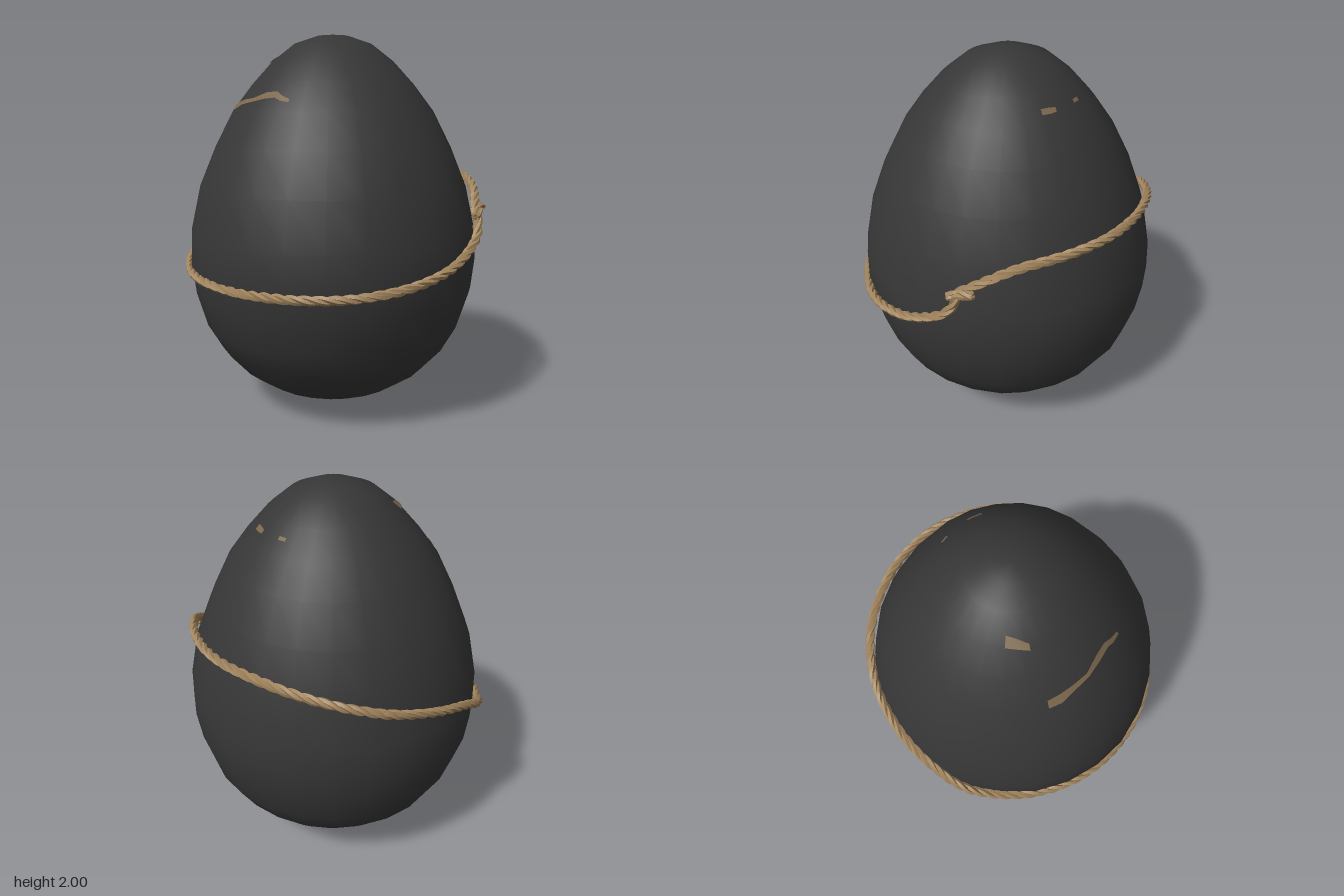
import * as THREE from 'three';
import { mergeVertices } from 'three/addons/utils/BufferGeometryUtils.js';

const V = (x, y, z) => new THREE.Vector3(x, y, z);

// Egg profile as [radius, height], bottom to top
const PROFILE = [[0, 0], [0.1, 0.008], [0.24, 0.04], [0.39, 0.11], [0.52, 0.2], [0.63, 0.32], [0.71, 0.46],
  [0.765, 0.64], [0.785, 0.8], [0.778, 0.96], [0.725, 1.2], [0.64, 1.41], [0.54, 1.6], [0.435, 1.74],
  [0.325, 1.86], [0.21, 1.95], [0.09, 1.992], [0, 2]];

function radiusAt(y) {
  for (let i = 1; i < PROFILE.length; i++) {
    const [r0, y0] = PROFILE[i - 1], [r1, y1] = PROFILE[i];
    if (y <= y1) return r0 + (r1 - r0) * (y - y0) / (y1 - y0);
  }
  return 0;
}

// Faint unevenness of the shell, angle measured from the front towards +x
const uneven = (angle, y) => 1 + 0.004 * Math.sin(5 * angle + 7 * y) * Math.cos(3 * angle - 11 * y);

function eggGeometry() {
  const lathe = new THREE.LatheGeometry(PROFILE.map(([r, y]) => new THREE.Vector2(r, y)), 26);
  lathe.deleteAttribute('uv');
  lathe.deleteAttribute('normal');
  const pos = lathe.attributes.position;
  for (let i = 0; i < pos.count; i++) {
    const x = pos.getX(i), y = pos.getY(i), z = pos.getZ(i);
    const k = uneven(Math.atan2(x, z), y);
    pos.setXYZ(i, x * k, y, z * k);
  }
  const geo = mergeVertices(lathe);
  geo.computeVertexNormals();
  return geo;
}

// Thin strip lying on the shell: stations are [angle, low y, high y]
function patchGeometry(stations) {
  const verts = [], index = [];
  stations.forEach(([a, lo, hi], i) => {
    for (const y of [lo, hi]) {
      const r = radiusAt(y) * uneven(a, y) + 0.004;
      verts.push(r * Math.sin(a), y + 0.002, r * Math.cos(a));
    }
    if (i) {
      const n = 2 * i;
      index.push(n - 2, n, n - 1, n, n + 1, n - 1);
    }
  });
  const geo = new THREE.BufferGeometry();
  geo.setAttribute('position', new THREE.Float32BufferAttribute(verts, 3));
  geo.setIndex(index);
  geo.computeVertexNormals();
  return geo;
}

// One strand winding round the rope's centre line
class Strand extends THREE.Curve {
  constructor(path, phase, turns, offset) {
    super();
    Object.assign(this, { path, phase, turns, offset });
  }
  getPoint(t, target = V(0, 0, 0)) {
    const centre = this.path.getPointAt(t), tangent = this.path.getTangentAt(t);
    const side = V(centre.x, 0, centre.z).normalize();
    const up = V(0, 0, 0).crossVectors(tangent, side).normalize();
    side.crossVectors(up, tangent);
    const a = this.phase + t * this.turns * Math.PI * 2;
    return target.copy(centre).addScaledVector(side, this.offset * Math.cos(a))
      .addScaledVector(up, this.offset * Math.sin(a));
  }
}

export function createModel() {
  const shellMat = new THREE.MeshStandardMaterial({ color: 0x363636 });
  shellMat.name = 'charcoal shell';
  const ropeMat = new THREE.MeshStandardMaterial({ color: 0xa0835c, flatShading: true });
  ropeMat.name = 'tan rope';
  const patchMat = new THREE.MeshStandardMaterial({ color: 0x7c674d, side: THREE.DoubleSide });
  patchMat.name = 'brown scuff';

  const model = new THREE.Group();
  model.name = 'ropedEgg';

  const body = new THREE.Group();
  body.name = 'eggBody';
  body.position.set(-0.004, 0, -0.01);
  model.add(body);
  const egg = new THREE.Mesh(eggGeometry(), shellMat);
  egg.name = 'eggShell';
  body.add(egg);

  // Brown scuffs on the upper shell
  const scuffs = {
    frontScuff: [[-0.82, 1.6, 1.635], [-0.7, 1.605, 1.645], [-0.56, 1.63, 1.655], [-0.4, 1.64, 1.66],
      [-0.22, 1.655, 1.688], [-0.08, 1.66, 1.69], [0, 1.645, 1.67], [0.1, 1.637, 1.652]],
    leftScuff: [[-1.22, 1.86, 1.895], [-1.05, 1.855, 1.885], [-0.9, 1.845, 1.868]],
    backScuff: [[2.92, 1.798, 1.812], [3.03, 1.798, 1.812]],
    backCornerScuff: [[2.4, 1.79, 1.812], [2.52, 1.79, 1.812], [2.6, 1.793, 1.809]],
  };
  for (const [name, stations] of Object.entries(scuffs)) {
    const mesh = new THREE.Mesh(patchGeometry(stations), patchMat);
    mesh.name = name;
    body.add(mesh);
  }

  // Rope centre line: once round the egg, its two ends overlapping on the +x side
  const path = new THREE.CatmullRomCurve3([
    V(0.795, 1.075, -0.075), V(0.765, 1.12, -0.15), V(0.73, 1.17, -0.24), V(0.66, 1.225, -0.36),
    V(0.5, 1.255, -0.54), V(0.28, 1.268, -0.68), V(0, 1.265, -0.738), V(-0.32, 1.215, -0.69),
    V(-0.56, 1.14, -0.54), V(-0.72, 1.06, -0.31), V(-0.795, 0.98, -0.08), V(-0.81, 0.9, 0.08),
    V(-0.77, 0.835, 0.23), V(-0.67, 0.79, 0.42), V(-0.5, 0.765, 0.6), V(-0.27, 0.757, 0.725),
    V(0, 0.755, 0.775), V(0.28, 0.757, 0.725), V(0.5, 0.768, 0.6), V(0.67, 0.8, 0.43),
    V(0.775, 0.855, 0.21), V(0.81, 0.925, 0.04), V(0.81, 0.985, -0.06), V(0.797, 1.04, -0.1),
    V(0.792, 1.095, -0.12), V(0.785, 1.11, -0.19),
  ]);
  const rope = new THREE.Group();
  rope.name = 'rope';
  model.add(rope);
  const thick = 0.0135;
  for (let i = 0; i < 3; i++) {
    const curve = new Strand(path, i * Math.PI * 2 / 3, 26, 0.0115);
    const strand = new THREE.Mesh(new THREE.TubeGeometry(curve, 420, thick, 5), ropeMat);
    strand.name = 'ropeStrand';
    rope.add(strand);
    for (const t of [0, 1]) {
      const end = new THREE.Mesh(new THREE.IcosahedronGeometry(thick, 0), ropeMat);
      end.name = 'strandEnd';
      end.position.copy(curve.getPoint(t));
      rope.add(end);
    }
  }
  return model;
}
